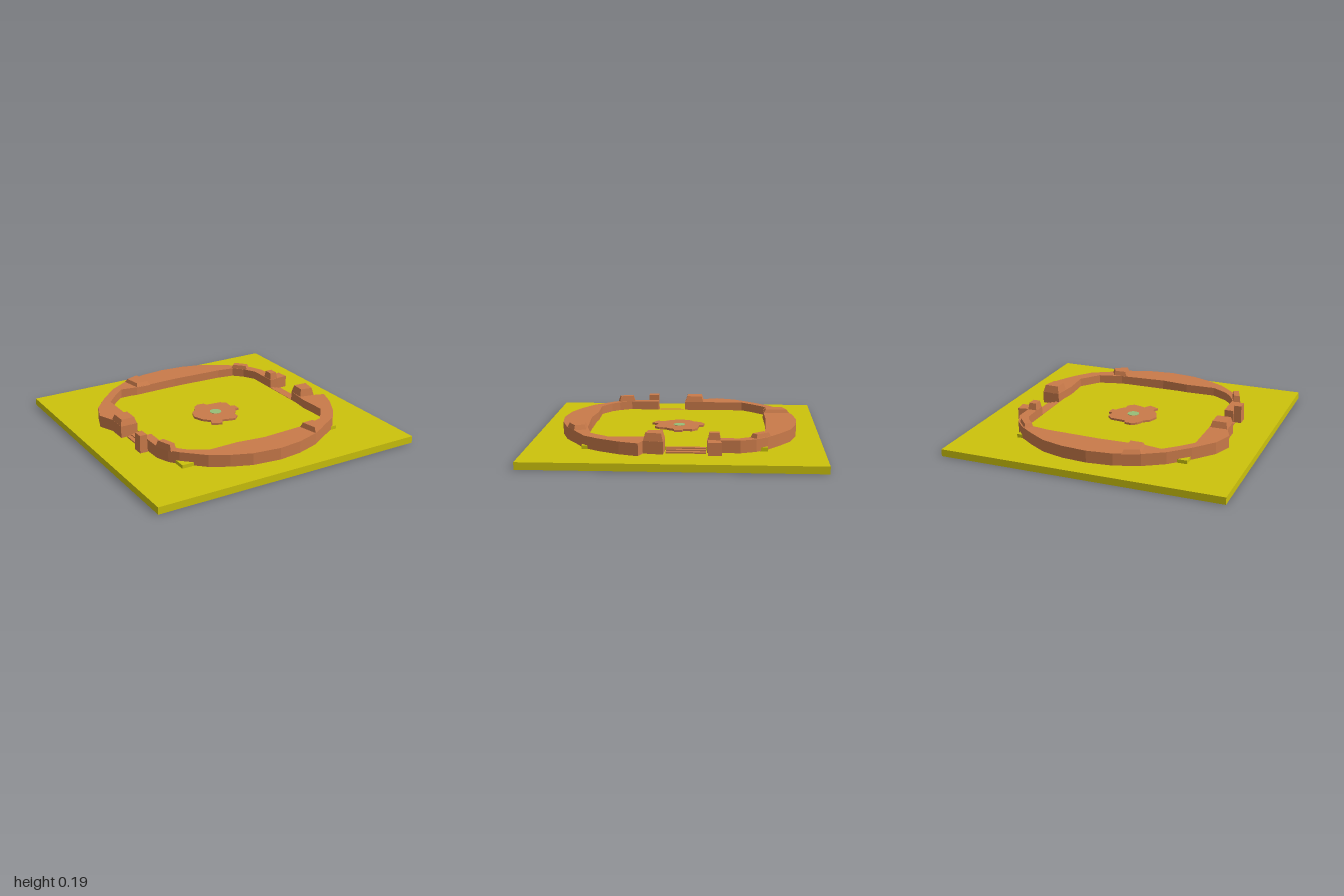
import * as THREE from 'three';

const yellow = new THREE.MeshStandardMaterial({ color: 0xccc20c, flatShading: true, side: THREE.DoubleSide });
const clay = new THREE.MeshStandardMaterial({ color: 0xc97a4a, flatShading: true });
const green = new THREE.MeshStandardMaterial({ color: 0x96be78, flatShading: true });

// Vertical prism over a plan outline of [x, z] points; the top can shrink toward its middle
function prism(points, y0, y1, taper = 1) {
  const shape = new THREE.Shape(points.map(([x, z]) => new THREE.Vector2(x, -z)));
  const geo = new THREE.ExtrudeGeometry(shape, { depth: y1 - y0, bevelEnabled: false });
  geo.rotateX(-Math.PI / 2).translate(0, y0, 0);
  if (taper !== 1) {
    const cx = points.reduce((s, p) => s + p[0], 0) / points.length;
    const cz = points.reduce((s, p) => s + p[1], 0) / points.length;
    const pos = geo.attributes.position;
    for (let i = 0; i < pos.count; i++) {
      if (pos.getY(i) < (y0 + y1) / 2) continue;
      pos.setX(i, cx + (pos.getX(i) - cx) * taper);
      pos.setZ(i, cz + (pos.getZ(i) - cz) * taper);
    }
    geo.computeVertexNormals();
  }
  return geo;
}

const rect = (x0, x1, z0, z1) => [[x0, z0], [x1, z0], [x1, z1], [x0, z1]];

// Box sides with chosen caps left out
function openBox(size, y0, y1, keepTop) {
  const geo = new THREE.BoxGeometry(size, y1 - y0, size).translate(0, (y0 + y1) / 2, 0);
  const index = Array.from(geo.index.array);
  geo.setIndex(index.filter((_, i) => !(i >= 18 && i < 24) && (keepTop || !(i >= 12 && i < 18))));
  geo.clearGroups();
  return geo;
}

export function createModel() {
  const model = new THREE.Group();
  const add = (name, geo, mat) => {
    const mesh = new THREE.Mesh(geo, mat);
    mesh.name = name;
    model.add(mesh);
    return mesh;
  };

  // Ground slab: hollow underneath, with a raised square floor in the middle
  add('groundSides', openBox(2, 0, 0.05, false), yellow);
  add('raisedFloor', openBox(1.245, 0.05, 0.075, true), yellow);
  const square = (h) => rect(-h, h, -h, h).map(([x, z]) => new THREE.Vector2(x, z));
  const ground = new THREE.Shape(square(1));
  ground.holes.push(new THREE.Path(square(0.6225)));
  add('groundTop', new THREE.ShapeGeometry(ground).rotateX(-Math.PI / 2).translate(0, 0.05, 0), yellow);

  // Two curved halves of the ruined wall: outer edge, then inner edge back
  const backWall = [
    [-0.755, -0.01], [-0.755, -0.15], [-0.8, -0.26], [-0.75, -0.4], [-0.63, -0.545], [-0.5, -0.675],
    [-0.355, -0.765], [-0.18, -0.825], [0, -0.845], [0.18, -0.83], [0.34, -0.785], [0.47, -0.705],
    [0.58, -0.625], [0.65, -0.545], [0.695, -0.44], [0.695, -0.22],
    [0.628, -0.22], [0.625, -0.435], [0.575, -0.525], [0.51, -0.59], [0.39, -0.61], [0, -0.625],
    [-0.33, -0.615], [-0.45, -0.635], [-0.545, -0.545], [-0.625, -0.455], [-0.628, -0.01],
  ];
  const frontWall = [
    [0.76, 0.065], [0.735, 0.2], [0.81, 0.225], [0.765, 0.355], [0.685, 0.5], [0.6, 0.61],
    [0.47, 0.685], [0.34, 0.765], [0.17, 0.82], [0, 0.84], [-0.2, 0.815], [-0.34, 0.76],
    [-0.465, 0.69], [-0.605, 0.555], [-0.655, 0.49], [-0.69, 0.395], [-0.695, 0.2],
    [-0.63, 0.2], [-0.63, 0.41], [-0.58, 0.5], [-0.53, 0.555], [-0.42, 0.62], [-0.2, 0.615],
    [0, 0.64], [0.34, 0.62], [0.515, 0.575], [0.62, 0.44], [0.61, 0.245], [0.63, 0.06],
  ];
  add('backWall', prism(backWall, 0.052, 0.137), clay);
  add('frontWall', prism(frontWall, 0.052, 0.137), clay);

  // Tapered stones on top of the wall: plan outline and top height
  const stones = [
    [[[-0.358, -0.765], [-0.235, -0.81], [-0.215, -0.615], [-0.33, -0.615]], 0.162],
    [[[0.505, -0.6], [0.55, -0.645], [0.638, -0.545], [0.595, -0.505]], 0.164],
    [rect(0.63, 0.695, -0.31, -0.225), 0.185],
    [[[0.63, 0.06], [0.76, 0.065], [0.735, 0.2], [0.625, 0.18]], 0.19],
    [[[0.305, 0.625], [0.41, 0.62], [0.45, 0.7], [0.335, 0.765]], 0.17],
    [[[-0.695, 0.39], [-0.64, 0.385], [-0.6, 0.505], [-0.65, 0.52]], 0.18],
    [rect(-0.755, -0.63, -0.155, -0.012), 0.18],
  ];
  stones.forEach(([outline, top]) => add('wallStone', prism(outline, 0.134, top, 0.78), clay));

  // Buttress blocks beside the gateways
  add('rightButtress', prism([[0.69, -0.305], [0.772, -0.32], [0.78, -0.23], [0.69, -0.225]], 0.052, 0.138), clay);
  add('leftButtress', prism(rect(-0.755, -0.698, 0.2, 0.28), 0.052, 0.178, 0.92), clay);

  // Low thresholds in the two gaps, each with shallow steps
  [[1, -0.213, 0.052], [-1, 0.0, 0.185]].forEach(([side, z0, z1]) => {
    for (let i = 0; i < 3; i++) {
      const a = side * 0.625, b = side * (0.715 - i * 0.03);
      add('threshold', prism(rect(Math.min(a, b), Math.max(a, b), z0, z1), 0.048, 0.06 + i * 0.008), clay);
    }
  });

  // Rocky centre platform with a small green disc
  const rock = [
    [-0.09, -0.155], [-0.05, -0.18], [0, -0.175], [0.01, -0.145], [0.06, -0.14], [0.12, -0.135],
    [0.155, -0.1], [0.15, -0.035], [0.18, -0.03], [0.18, 0.03], [0.15, 0.03], [0.135, 0.06],
    [0.1, 0.1], [0.1, 0.14], [0.06, 0.175], [0, 0.16], [-0.03, 0.15], [-0.06, 0.2], [-0.13, 0.165],
    [-0.11, 0.12], [-0.155, 0.07], [-0.18, 0], [-0.155, -0.07], [-0.115, -0.1],
  ];
  add('centrePlatform', prism(rock, 0.07, 0.09), clay);
  add('centreDisc', new THREE.CylinderGeometry(0.042, 0.042, 0.012, 20).translate(0, 0.087, 0), green);

  return model;
}
